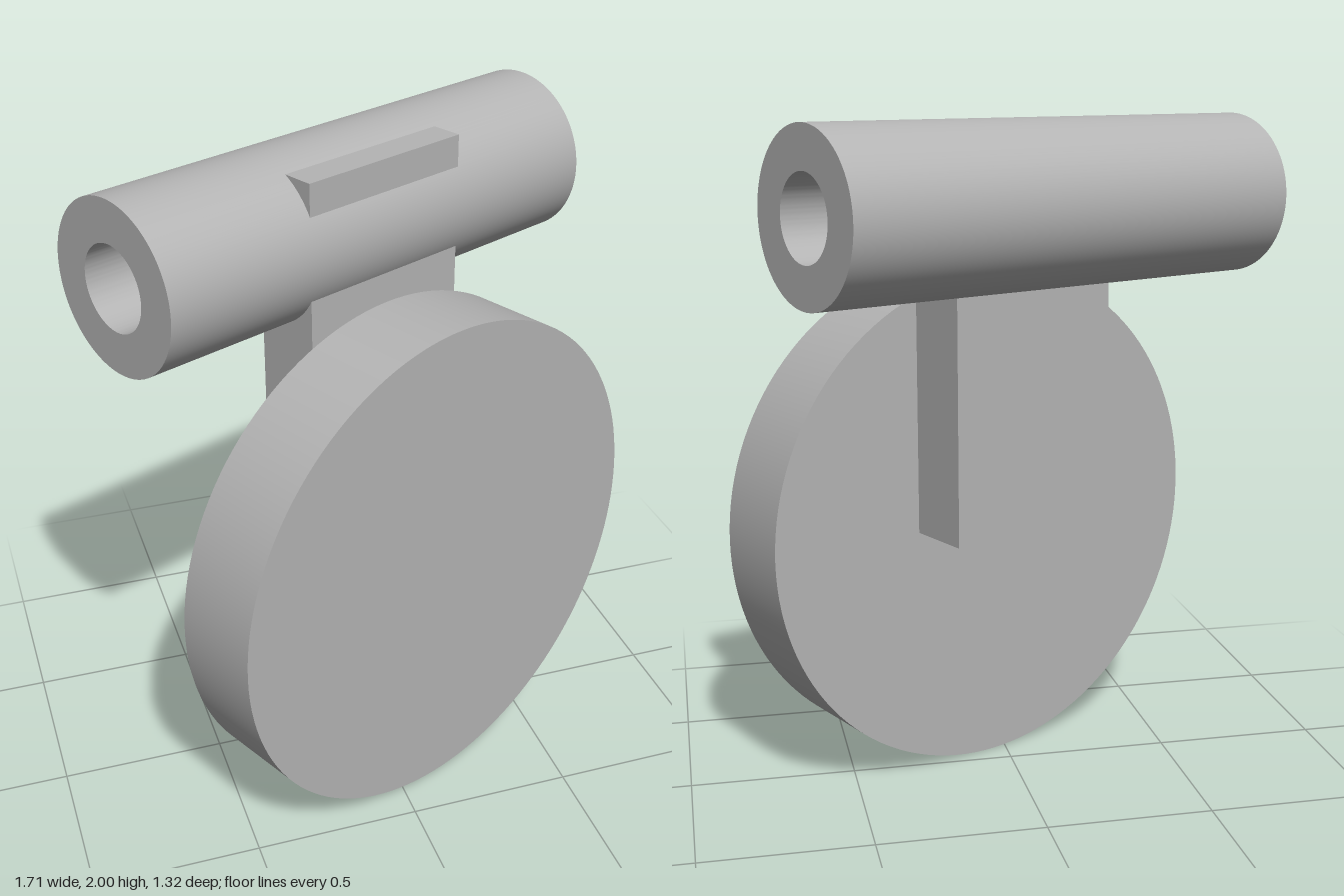
import * as THREE from 'three';
import { toCreasedNormals } from 'three/addons/utils/BufferGeometryUtils.js';

const TUBE = { y: 1.755, z: -0.125, radius: 0.245, bore: 0.122, length: 1.54 };
const DISC = { radius: 0.772, back: 0.088, front: 0.362 };
const BLOCK = { width: 0.56, back: -0.119, bottom: 0.772, top: 1.97 };

// Extrude a profile drawn in (-z, y) along x, centred on x = 0
function extrudeAlongX(shape, length) {
  const geo = new THREE.ExtrudeGeometry(shape, { depth: length, bevelEnabled: false, curveSegments: 64 });
  geo.translate(0, 0, -length / 2);
  geo.rotateY(Math.PI / 2);
  return toCreasedNormals(geo, 0.5);
}

export function createModel() {
  const model = new THREE.Group();
  const grey = new THREE.MeshStandardMaterial({ color: 0xb4b4b4 });
  grey.name = 'grey';

  const add = (name, geometry) => {
    const mesh = new THREE.Mesh(geometry, grey);
    mesh.name = name;
    model.add(mesh);
  };

  // Round plate standing on its rim
  const thickness = DISC.front - DISC.back;
  const disc = new THREE.CylinderGeometry(DISC.radius, DISC.radius, thickness, 128);
  disc.rotateX(Math.PI / 2);
  disc.translate(0, DISC.radius, (DISC.front + DISC.back) / 2);
  add('disc', disc);

  // Horizontal tube with a through bore
  const ring = new THREE.Shape().absarc(-TUBE.z, TUBE.y, TUBE.radius, 0, Math.PI * 2);
  ring.holes.push(new THREE.Path().absarc(-TUBE.z, TUBE.y, TUBE.bore, 0, Math.PI * 2, true));
  add('tube', extrudeAlongX(ring, TUBE.length));

  // Connecting block, notched so the bore stays open
  const start = Math.acos((TUBE.z - BLOCK.back) / TUBE.bore);
  const profile = new THREE.Shape();
  profile.moveTo(-BLOCK.back, BLOCK.bottom);
  profile.lineTo(-DISC.back, BLOCK.bottom);
  profile.lineTo(-DISC.back, BLOCK.top);
  profile.lineTo(-BLOCK.back, BLOCK.top);
  profile.absarc(-TUBE.z, TUBE.y, TUBE.bore, start, 2 * Math.PI - start, false);
  profile.closePath();
  add('connectingBlock', extrudeAlongX(profile, BLOCK.width));

  // The whole piece is turned about the vertical axis
  model.rotation.y = THREE.MathUtils.degToRad(25);
  model.name = 'discWithTube';
  return model;
}
